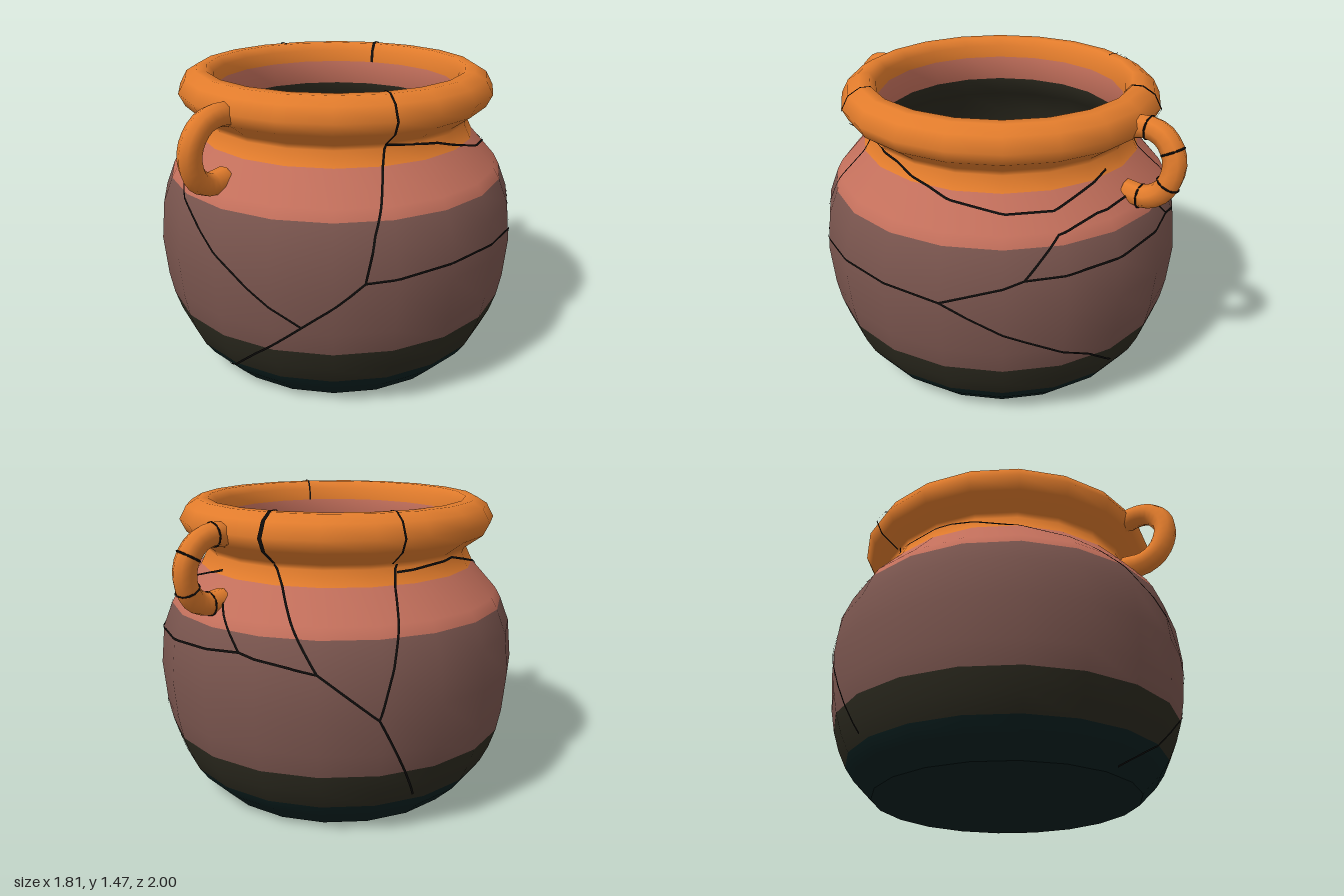
import * as THREE from 'three';

const SIDES = 20;
const mat = (name, color, side = THREE.FrontSide) => {
  const m = new THREE.MeshStandardMaterial({ color, side });
  m.name = name;
  return m;
};

// Outer wall from foot to neck: radius, height, band index
const WALL = [
  [0.66, 0, 0], [0.75, 0.09, 0], [0.795, 0.155, 0], [0.835, 0.24, 1], [0.867, 0.34, 1],
  [0.888, 0.45, 2], [0.905, 0.65, 2], [0.885, 0.84, 2], [0.838, 0.96, 2],
  [0.81, 1.01, 3], [0.685, 1.15, 3], [0.652, 1.22, 4], [0.66, 1.245, 4],
];
// Rolled rim
const RIM = [
  [0.75, 1.31, 4], [0.78, 1.37, 4], [0.745, 1.435, 4], [0.69, 1.468, 4],
  [0.64, 1.468, 4], [0.61, 1.43, 4], [0.6, 1.37, 4],
];
// Inside wall and floor
const INSIDE = [
  [0.585, 1.25, 3], [0.65, 1.14, 1], [0.76, 1.0, 1], [0.84, 0.65, 1], [0.79, 0.3, 1],
  [0.7, 0.14, 1], [0.62, 0.06, 0], [0, 0.05, 0],
];

// One smooth lathe whose faces are sorted into colour bands
function bandedLathe(profile, materials) {
  const geo = new THREE.LatheGeometry(profile.map(([r, y]) => new THREE.Vector2(r, y)), SIDES);
  const src = geo.index.array;
  const spans = profile.length - 1;
  const sorted = [];
  materials.forEach((_, band) => {
    const start = sorted.length;
    for (let i = 0; i < SIDES; i++) {
      for (let j = 0; j < spans; j++) {
        if (profile[j + 1][2] !== band) continue;
        const k = (i * spans + j) * 6;
        for (let n = 0; n < 6; n++) sorted.push(src[k + n]);
      }
    }
    geo.addGroup(start, sorted.length - start, band);
  });
  geo.setIndex(sorted);
  return new THREE.Mesh(geo, materials);
}

// Point on the faceted outer wall at an angle (degrees) and height
function wallPoint(deg, y, lift = 0) {
  let i = 1;
  while (i < WALL.length - 1 && WALL[i][1] < y) i++;
  const [r0, y0] = WALL[i - 1], [r1, y1] = WALL[i];
  const step = 360 / SIDES;
  const off = ((deg % step) + step) % step - step / 2;
  const rad = THREE.MathUtils.degToRad;
  const r = (r0 + (r1 - r0) * (y - y0) / (y1 - y0)) * Math.cos(rad(step / 2)) / Math.cos(rad(off));
  const slope = (r1 - r0) / (y1 - y0);
  const a = rad(deg);
  const normal = new THREE.Vector3(Math.sin(a), -slope, Math.cos(a)).normalize();
  const point = new THREE.Vector3(r * Math.sin(a), y, r * Math.cos(a)).addScaledVector(normal, lift);
  return { point, normal };
}

// Thin dark ribbon laid along the wall through [angle, height] points
function crack(path, material, width = 0.011) {
  const samples = [];
  for (let i = 0; i < path.length - 1; i++) {
    const [a0, y0] = path[i], [a1, y1] = path[i + 1];
    const n = Math.ceil(Math.max(Math.abs(a1 - a0) / 2, Math.abs(y1 - y0) / 0.025));
    for (let k = i ? 1 : 0; k <= n; k++) {
      samples.push(wallPoint(a0 + (a1 - a0) * k / n, y0 + (y1 - y0) * k / n, 0.005));
    }
  }
  const pos = [], nor = [], idx = [];
  samples.forEach(({ point, normal }, i) => {
    const next = samples[Math.min(i + 1, samples.length - 1)].point;
    const prev = samples[Math.max(i - 1, 0)].point;
    const across = next.clone().sub(prev).cross(normal).setLength(width / 2);
    for (const s of [-1, 1]) {
      pos.push(...point.clone().addScaledVector(across, s).toArray());
      nor.push(...normal.toArray());
    }
    if (i) {
      const b = i * 2;
      idx.push(b - 2, b - 1, b, b - 1, b + 1, b);
    }
  });
  const geo = new THREE.BufferGeometry();
  geo.setAttribute('position', new THREE.Float32BufferAttribute(pos, 3));
  geo.setAttribute('normal', new THREE.Float32BufferAttribute(nor, 3));
  geo.setIndex(idx);
  const mesh = new THREE.Mesh(geo, material);
  mesh.name = 'wallCrack';
  return mesh;
}

// Narrow lathe slice that wraps over the rim
function rimCrack(deg, width, material) {
  const pts = [WALL[WALL.length - 1], ...RIM].map(([r, y]) => {
    const d = new THREE.Vector2(r - 0.69, y - 1.37).setLength(0.005);
    return new THREE.Vector2(r + d.x, y + d.y);
  });
  const span = width / 0.7;
  const geo = new THREE.LatheGeometry(pts, 1, THREE.MathUtils.degToRad(deg) - span / 2, span);
  const mesh = new THREE.Mesh(geo, material);
  mesh.name = 'rimCrack';
  return mesh;
}

// Leaning loop handle on the front, from under the rim to the shoulder
function handle(shift, material) {
  const curve = new THREE.CatmullRomCurve3([
    [-0.035, 1.35, 0.7], [-0.035, 1.368, 0.8], [-0.042, 1.345, 0.88], [-0.052, 1.27, 0.938],
    [-0.062, 1.19, 0.945], [-0.072, 1.1, 0.905], [-0.077, 1.055, 0.83], [-0.075, 1.06, 0.73],
  ].map(([x, y, z]) => new THREE.Vector3(x + shift, y, z)));
  const group = new THREE.Group();
  const tube = new THREE.Mesh(new THREE.TubeGeometry(curve, 18, 0.055, 8), material);
  tube.name = 'handleLoop';
  group.add(tube);
  return { group, curve };
}

export function createModel() {
  const model = new THREE.Group();
  model.name = 'crackedPot';

  const teal = mat('deepTeal', 0x0a2020);
  const olive = mat('darkOlive', 0x2c2a1f);
  const brown = mat('duskyBrown', 0x7a554e);
  const salmon = mat('salmonClay', 0xc4705c);
  const orange = mat('orangeClay', 0xe27c2c);
  const black = mat('crackBlack', 0x0e0c0b, THREE.DoubleSide);

  // Body, rim and hollow inside
  const body = bandedLathe([...WALL, ...RIM, ...INSIDE], [teal, olive, brown, salmon, orange]);
  body.name = 'potBody';
  model.add(body);

  // Flat underside
  const base = new THREE.Mesh(new THREE.CircleGeometry(0.66, SIDES), teal);
  base.rotation.x = Math.PI / 2;
  base.name = 'base';
  model.add(base);

  // Handles, the back one turned half way round
  const front = handle(0, orange);
  front.group.name = 'frontHandle';
  const back = handle(0.03, orange);
  back.group.name = 'backHandle';
  for (const t of [0.16, 0.4, 0.64, 0.88]) {
    const ring = new THREE.Mesh(new THREE.TorusGeometry(0.054, 0.005, 4, 12), black);
    ring.position.copy(back.curve.getPointAt(t));
    ring.quaternion.setFromUnitVectors(new THREE.Vector3(0, 0, 1), back.curve.getTangentAt(t));
    ring.name = 'handleCrack';
    back.group.add(ring);
  }
  back.group.rotation.y = Math.PI;
  model.add(front.group, back.group);

  // Cracks around the wall
  const paths = [
    [[-83, 1.22], [-53, 1.14], [-30, 1.045], [-6.5, 0.835], [12.8, 0.625], [27, 0.48]],
    [[-14, 0.03], [0, 0.15], [27, 0.48], [45, 0.7], [48, 0.9], [56, 1.24]],
    [[45, 0.7], [73, 0.73], [90, 0.73], [108, 0.71], [132, 0.83], [165, 0.85], [192, 0.88], [216, 0.825], [233, 0.62]],
    [[108, 0.71], [132, 0.52], [154, 0.36], [165, 0.24]],
    [[56, 1.24], [81, 1.2], [106, 1.12], [127, 1.08], [143, 1.08], [170, 1.17]],
    [[132, 0.83], [143, 1.0], [158, 1.04], [180, 1.06], [192, 0.88]],
    [[216, 0.825], [197, 1.24]],
    [[247, 0.19], [233, 0.62], [245, 1.24]],
    [[245, 1.2], [277, 1.22]],
  ];
  paths.forEach((p) => model.add(crack(p, black)));

  // Cracks over the rim
  [[56, 0.01], [197, 0.018], [243, 0.009]].forEach(([deg, w]) => model.add(rimCrack(deg, w, black)));

  return model;
}
